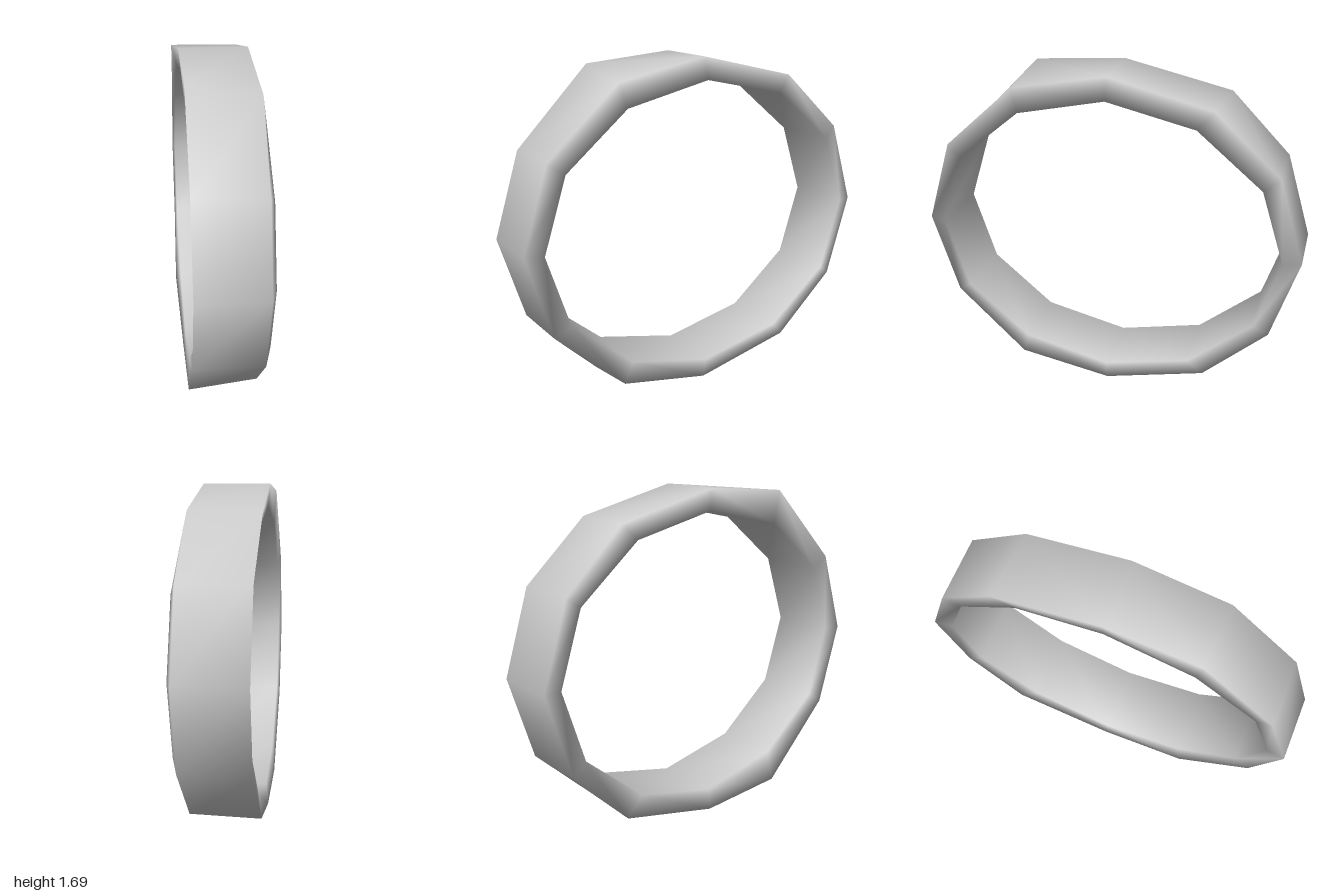
import * as THREE from 'three';

// Cross-section corners: a = offset along the ring's axis, ru / ry = horizontal and vertical radius
const SECTION = [
  { a: -0.183, ru: 0.975, ry: 0.845 }, // outer, one rim
  { a: 0.155, ru: 0.975, ry: 0.845 },  // outer, other rim
  { a: 0.185, ru: 0.885, ry: 0.735 },  // inner, other rim
  { a: -0.172, ru: 0.88, ry: 0.735 },  // inner, one rim
];
const SIDES = 12;

// Outer corners at the four steep joints are slightly knocked out of true: [a, |y|, u]
const FRONT_JOINT = [[-0.181, 0.808, 0.468], [0.166, 0.755, 0.478]];
const BACK_JOINT = [[-0.195, 0.722, -0.544], [0.154, 0.722, -0.52]];

function corner(i, j) {
  const { a, ru, ry } = SECTION[j];
  const t = (i / SIDES) * Math.PI * 2;
  const steep = i % 6 === 2 || i % 6 === 4;
  if (steep && j < 2) {
    const [ja, jy, ju] = (Math.cos(t) > 0 ? FRONT_JOINT : BACK_JOINT)[j];
    return [ja, jy * Math.sign(Math.sin(t)), ju];
  }
  return [a, ry * Math.sin(t), ru * Math.cos(t)];
}

function ringGeometry() {
  const positions = [], index = [];
  const n = SECTION.length;
  for (let i = 0; i < SIDES; i++) {
    for (let j = 0; j < n; j++) {
      positions.push(...corner(i, j));
      const i2 = (i + 1) % SIDES, j2 = (j + 1) % n;
      const p = i * n + j, q = i * n + j2, r = i2 * n + j2, s = i2 * n + j;
      index.push(p, q, r, p, r, s);
    }
  }
  const geometry = new THREE.BufferGeometry();
  geometry.setAttribute('position', new THREE.Float32BufferAttribute(positions, 3));
  geometry.setIndex(index);
  geometry.computeVertexNormals();
  return geometry;
}

export function createModel() {
  const group = new THREE.Group();
  group.name = 'ringModel';
  // Upright twelve-sided band, turned slightly about the vertical
  const band = new THREE.Mesh(ringGeometry(), new THREE.MeshStandardMaterial({ color: 0xcccccc }));
  band.name = 'band';
  band.position.y = 0.847;
  band.rotation.y = -0.174;
  group.add(band);
  return group;
}
